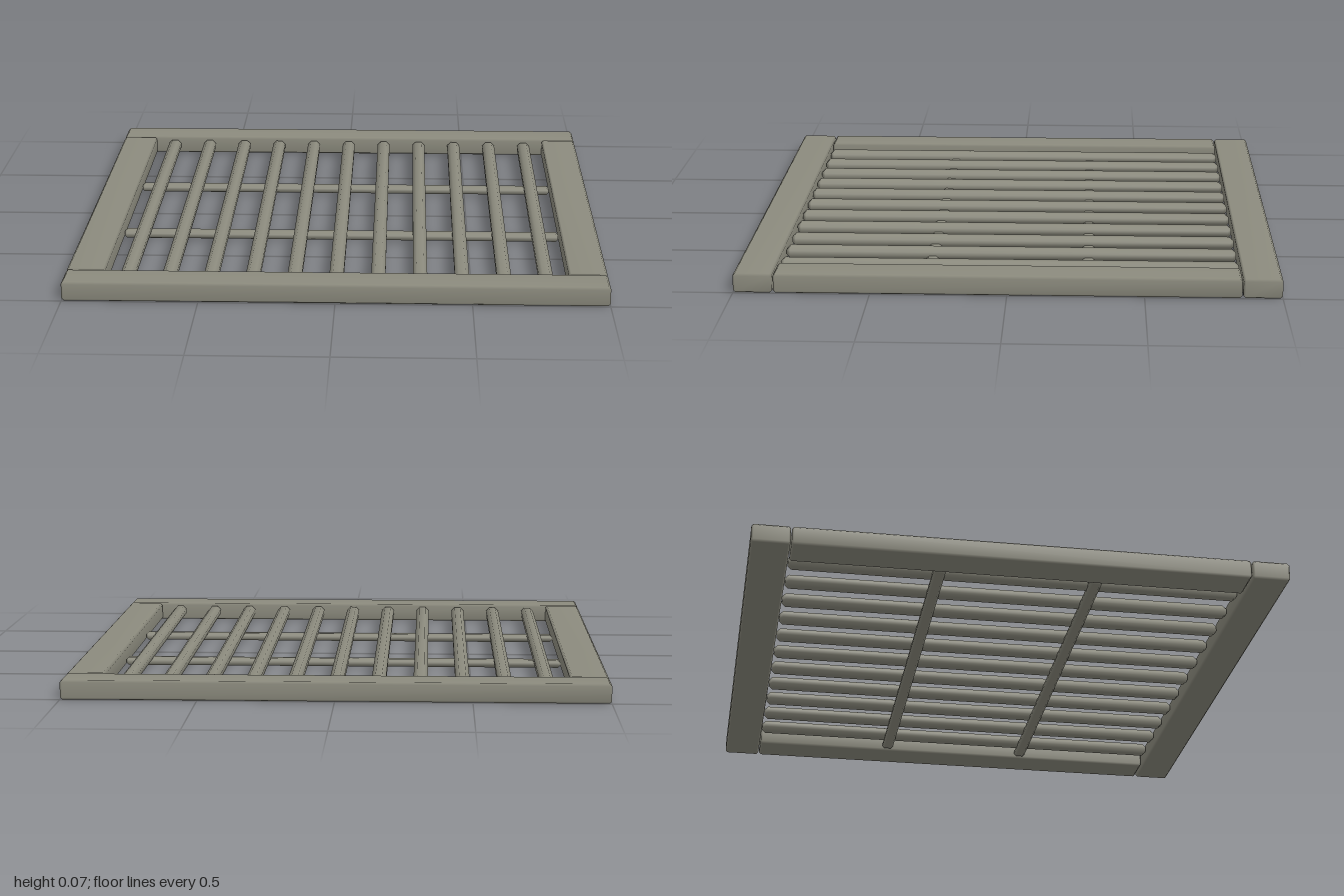
import * as THREE from 'three';
import { mergeVertices } from 'three/addons/utils/BufferGeometryUtils.js';
import { ConvexGeometry } from 'three/addons/geometries/ConvexGeometry.js';

// Box with chamfered edges and softly blended normals
function chamferBox(w, h, d, c) {
  const points = [];
  const signs = [-1, 1];
  for (const sx of signs) for (const sy of signs) for (const sz of signs) {
    const x = w / 2, y = h / 2, z = d / 2;
    points.push(
      new THREE.Vector3(sx * x, sy * (y - c), sz * (z - c)),
      new THREE.Vector3(sx * (x - c), sy * y, sz * (z - c)),
      new THREE.Vector3(sx * (x - c), sy * (y - c), sz * z)
    );
  }
  const hull = new ConvexGeometry(points);
  hull.deleteAttribute('normal');
  const geometry = mergeVertices(hull, 1e-5);
  geometry.computeVertexNormals();
  return geometry;
}

export function createModel() {
  const group = new THREE.Group();
  group.name = 'floorGrate';

  const metal = new THREE.MeshStandardMaterial({ color: 0x8c8b7e });
  metal.name = 'weatheredMetal';

  const add = (name, geometry, x, y, z) => {
    const mesh = new THREE.Mesh(geometry, metal);
    mesh.name = name;
    mesh.position.set(x, y, z);
    group.add(mesh);
  };

  const H = 0.072;
  const rail = chamferBox(2, H, 0.143, 0.008);
  const sideRail = chamferBox(0.143, H, 1.706, 0.008);
  const crossBar = chamferBox(1.71, 0.03, 0.046, 0.009);
  const bar = chamferBox(0.053, 0.046, 1.706, 0.014);

  // Outer frame and the two cross bars beneath the slats
  for (const s of [-1, 1]) {
    add(s > 0 ? 'frontRail' : 'backRail', rail, 0, H / 2, s * 0.9285);
    add(s > 0 ? 'leftRail' : 'rightRail', sideRail, s * 0.9285, H / 2, 0);
    add(s > 0 ? 'frontCrossBar' : 'backCrossBar', crossBar, 0, 0.019, s * 0.295);
  }

  // Eleven parallel slats
  for (let i = -5; i <= 5; i++) add('slat' + (i + 6), bar, i * 0.155, 0.04, 0);

  return group;
}
